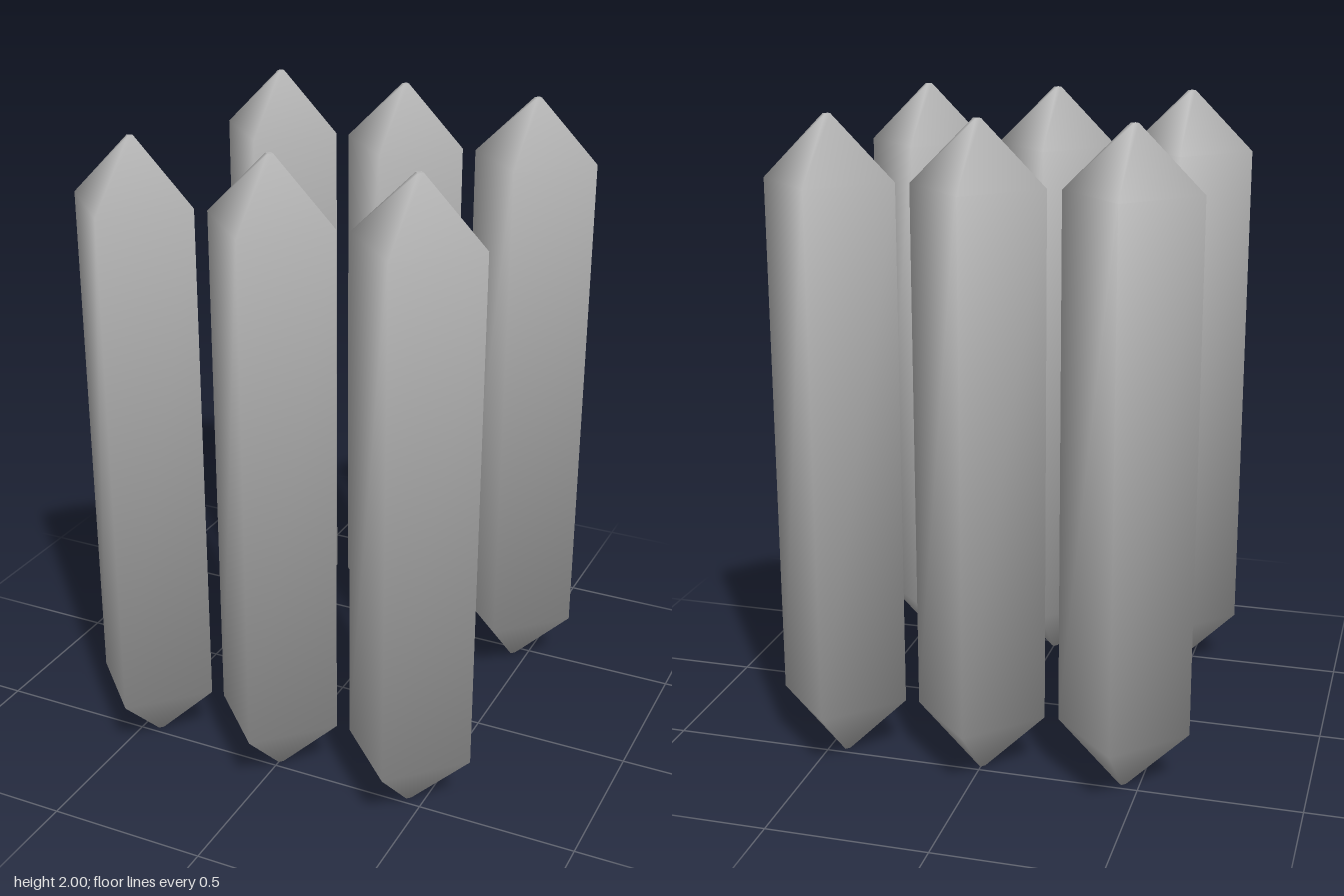
import * as THREE from 'three';
import { mergeGeometries } from 'three/addons/utils/BufferGeometryUtils.js';

// Rings from top to bottom: radius, height, and tilt of the smooth normal
const RINGS = [
  { r: 0.012, y: 2.0, tilt: Math.PI / 4 },
  { r: 0.202, y: 1.81, tilt: Math.PI / 8 },
  { r: 0.202, y: 0.19, tilt: -Math.PI / 8 },
  { r: 0.012, y: 0.0, tilt: -Math.PI / 4 },
];

// Four-sided column with pointed ends and softly blended normals
function crystalGeometry() {
  const side = new THREE.CylinderGeometry(1, 1, 1, 4, 3, true);
  const pos = side.attributes.position;
  const nor = side.attributes.normal;
  for (let i = 0; i < pos.count; i++) {
    const { r, y, tilt } = RINGS[Math.floor(i / 5)];
    const a = (i % 5) * Math.PI / 2;
    pos.setXYZ(i, r * Math.sin(a), y, r * Math.cos(a));
    nor.setXYZ(i, Math.cos(tilt) * Math.sin(a), Math.sin(tilt), Math.cos(tilt) * Math.cos(a));
  }
  // Tiny flat facets closing both points
  const top = new THREE.CircleGeometry(RINGS[0].r, 4).rotateX(-Math.PI / 2).translate(0, 2, 0);
  const bottom = new THREE.CircleGeometry(RINGS[3].r, 4).rotateX(Math.PI / 2);
  return mergeGeometries([side, top, bottom]);
}

export function createModel() {
  const model = new THREE.Group();
  model.name = 'crystalColumns';
  const grey = new THREE.MeshStandardMaterial({ color: 0xb8b8b8 });
  grey.name = 'grey';
  const geometry = crystalGeometry();

  // Two rows of three columns
  for (const [row, z] of [['front', 0.468], ['back', -0.468]]) {
    for (const [place, x] of [['Right', -0.447], ['Middle', 0], ['Left', 0.447]]) {
      const column = new THREE.Mesh(geometry, grey);
      column.name = `${row}${place}Column`;
      column.position.set(x, 0, z);
      model.add(column);
    }
  }
  return model;
}
